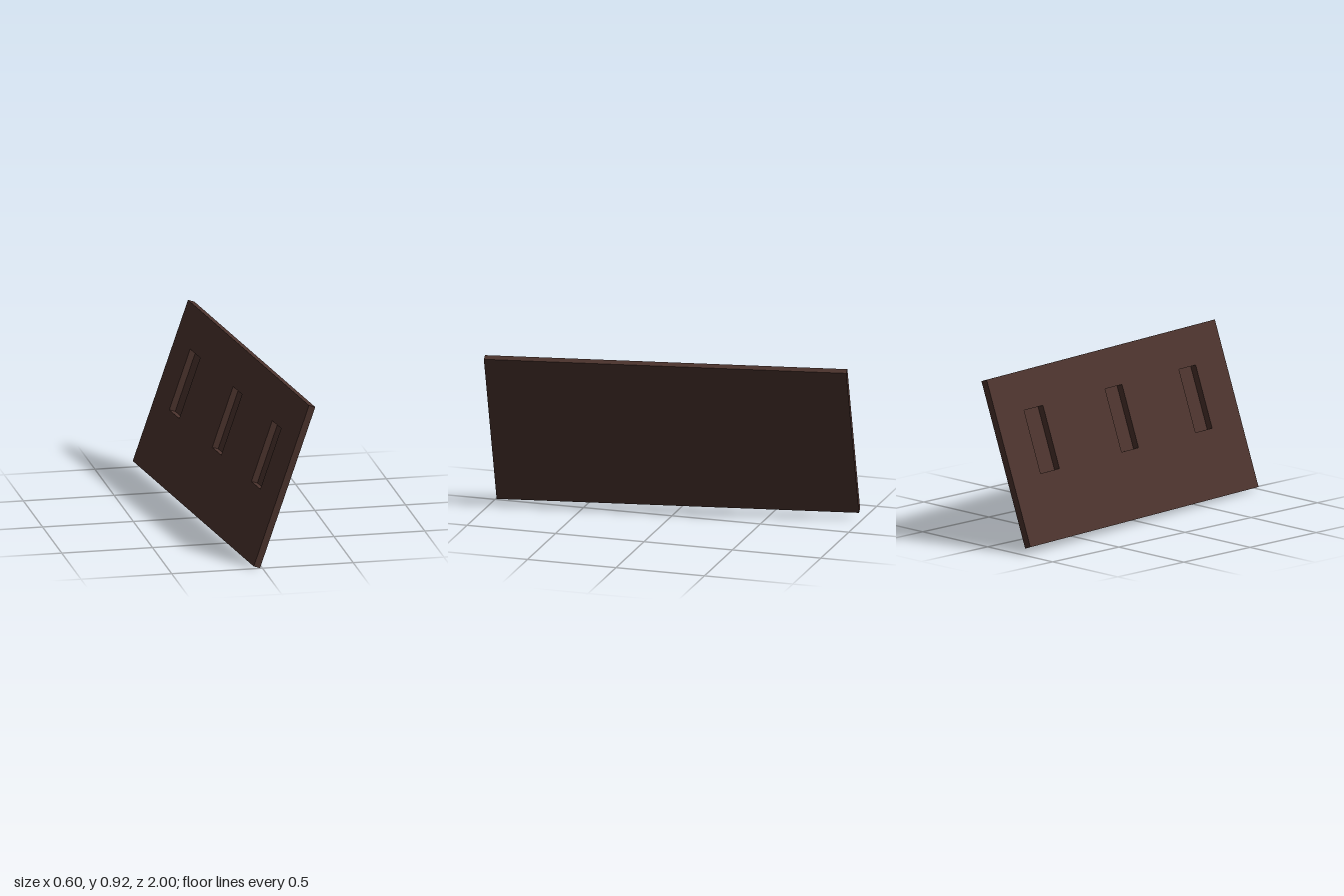
import * as THREE from 'three';

const LENGTH = 1.986, HEIGHT = 0.933, THICK = 0.038;
// Slots as [start, end] along the length; all share the same height range
const SLOTS = [[0.24, 0.404], [0.945, 1.092], [1.588, 1.733]];
const SLOT_LOW = 0.37, SLOT_HIGH = 0.722;

function rectangle(PathType, x0, y0, x1, y1) {
  return new PathType([[x0, y0], [x1, y0], [x1, y1], [x0, y1]].map(([x, y]) => new THREE.Vector2(x, y)));
}

export function createModel() {
  const brown = new THREE.MeshStandardMaterial({ color: 0x4b332d });
  brown.name = 'darkBrown';

  const model = new THREE.Group();
  model.name = 'slottedBoard';

  // Board with three rectangular slots
  const outline = rectangle(THREE.Shape, 0, 0, LENGTH, HEIGHT);
  for (const [a, b] of SLOTS) outline.holes.push(rectangle(THREE.Path, a, SLOT_LOW, b, SLOT_HIGH));
  const board = new THREE.Mesh(new THREE.ExtrudeGeometry(outline, { depth: THICK, bevelEnabled: false }), brown);
  board.name = 'board';

  // Thin floors closing the slots flush with the back of the board
  const tilted = new THREE.Group();
  tilted.name = 'tiltedBoard';
  tilted.add(board);
  const floorDepth = 0.002;
  SLOTS.forEach(([a, b], i) => {
    const floor = new THREE.Mesh(new THREE.BoxGeometry(b - a, SLOT_HIGH - SLOT_LOW, floorDepth), brown);
    floor.name = `slotFloor${i + 1}`;
    floor.position.set((a + b) / 2, (SLOT_LOW + SLOT_HIGH) / 2, floorDepth / 2);
    tilted.add(floor);
  });

  // Lean the board: along its length, up its height, out of its slotted face
  const along = new THREE.Vector3(0.25, -0.03, 1.97).normalize();
  const out = along.clone().cross(new THREE.Vector3(0.31, 0.88, -0.027)).normalize();
  const up = out.clone().cross(along);
  const corner = new THREE.Vector3(-0.298, 0.043, -0.97).addScaledVector(out, -THICK);
  tilted.quaternion.setFromRotationMatrix(new THREE.Matrix4().makeBasis(along, up, out));
  tilted.position.copy(corner);
  model.add(tilted);
  return model;
}
